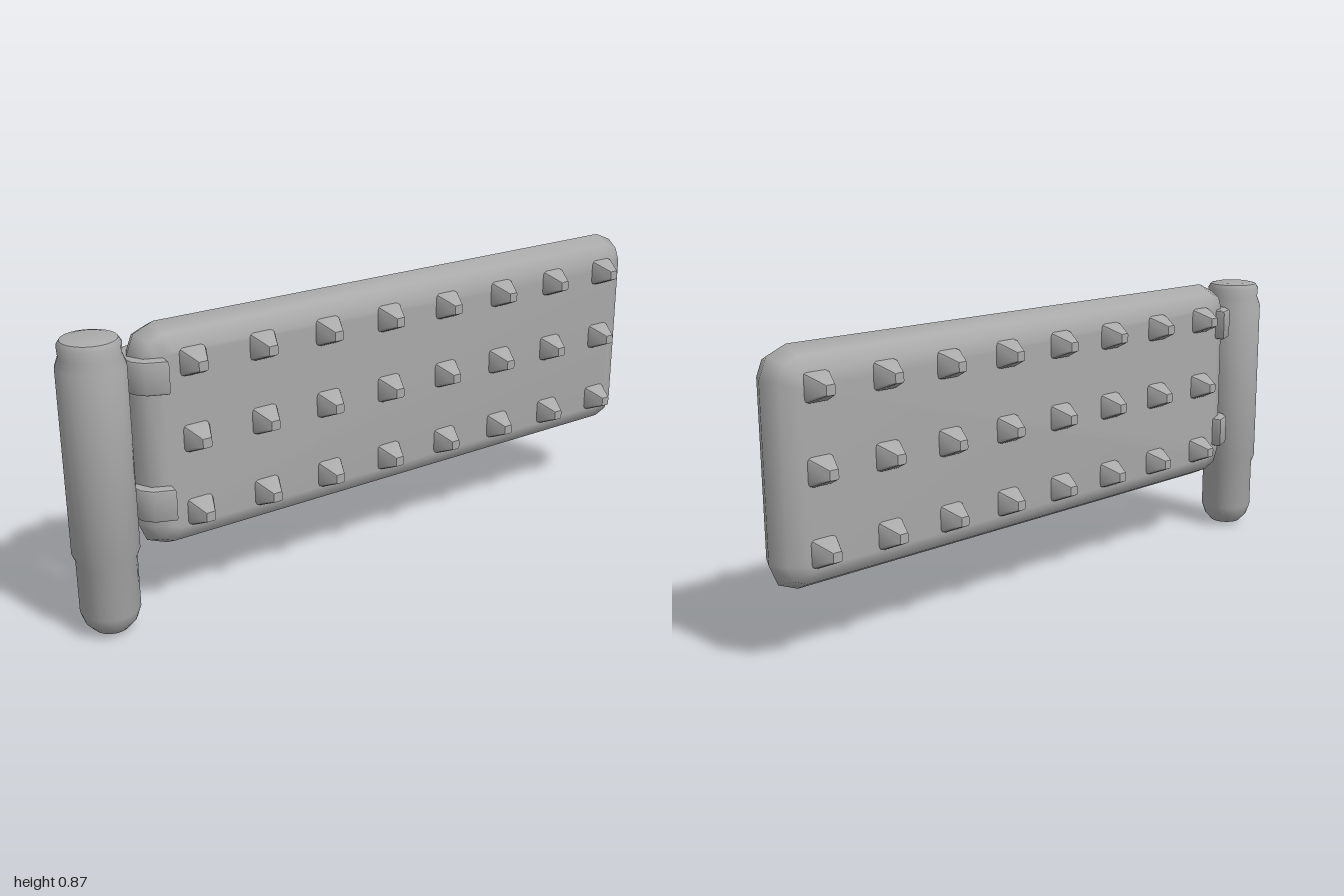
import * as THREE from 'three';
import { toCreasedNormals } from 'three/addons/utils/BufferGeometryUtils.js';

// Solid lofted along z from rounded rectangles: sections are [z, halfWidth, halfHeight, cornerRadius]
function loft(sections, steps) {
  const pos = [], index = [], n = 4 * (steps + 1);
  for (const [z, w, h, r] of sections) {
    for (let c = 0; c < 4; c++) {
      const sx = c === 0 || c === 3 ? 1 : -1, sy = c < 2 ? 1 : -1;
      for (let i = 0; i <= steps; i++) {
        const a = (c + i / steps) * Math.PI / 2;
        pos.push(sx * (w - r) + r * Math.cos(a), sy * (h - r) + r * Math.sin(a), z);
      }
    }
  }
  const last = (sections.length - 1) * n;
  for (let s = 0; s < last; s += n) {
    for (let i = 0; i < n; i++) {
      const j = (i + 1) % n;
      index.push(s + i, s + j, s + n + j, s + i, s + n + j, s + n + i);
    }
  }
  for (let i = 1; i < n - 1; i++) {
    index.push(0, i + 1, i, last, last + i, last + i + 1);
  }
  const g = new THREE.BufferGeometry();
  g.setAttribute('position', new THREE.Float32BufferAttribute(pos, 3));
  g.setIndex(index);
  g.computeVertexNormals();
  return g;
}

export function createModel() {
  const model = new THREE.Group();
  const grey = new THREE.MeshStandardMaterial({ color: 0xaaaaaa });
  grey.name = 'grey';
  const add = (geometry, name, x, y, z = 0) => {
    const mesh = new THREE.Mesh(geometry, grey);
    mesh.name = name;
    mesh.position.set(x, y, z);
    model.add(mesh);
    return mesh;
  };

  // Upright post with a narrower foot and a necked cap
  const profile = [[0, 0], [0.05, 0.01], [0.073, 0.035], [0.085, 0.07], [0.085, 0.228],
    [0.094, 0.25], [0.094, 0.785], [0.083, 0.815], [0.085, 0.845], [0.076, 0.859], [0.055, 0.864], [0, 0.864]]
    .map(([r, y]) => new THREE.Vector2(r, y));
  add(toCreasedNormals(new THREE.LatheGeometry(profile, 24), 0.7), 'post', -0.906, 0);

  // Slab with tapering edges and clipped corners
  const W = 0.903, H = 0.328;
  add(loft([
    [-0.07, W - 0.07, H - 0.07, 0.035],
    [-0.05, W - 0.025, H - 0.025, 0.06],
    [0, W, H, 0.085],
    [0.05, W - 0.025, H - 0.025, 0.06],
    [0.07, W - 0.07, H - 0.07, 0.035],
  ], 2), 'slab', 0.097, 0.543);

  // Blunt studs on both faces
  const stud = toCreasedNormals(loft([
    [-0.01, 0.041, 0.041, 0.012],
    [0.008, 0.038, 0.038, 0.012],
    [0.061, 0.014, 0.014, 0.004],
  ], 2), 0.5);
  for (let col = 0; col < 8; col++) {
    for (let row = 0; row < 3; row++) {
      const x = -0.645 + col * 0.2171, y = 0.325 + row * 0.22;
      add(stud, 'frontStud', x, y, 0.07);
      add(stud, 'backStud', x, y, -0.07).rotation.y = Math.PI;
    }
  }

  // Hinge straps: angled arms gripping the slab from both sides
  const bevel = 0.008;
  const arm = side => {
    const pts = [[-0.815, 0], [-0.765, 0], [-0.765, 0.045], [-0.734, 0.066],
      [-0.737, 0.092], [-0.785, 0.072], [-0.807, 0.045]];
    const shape = new THREE.Shape(pts.map(([x, z]) => new THREE.Vector2(x, -z * side)));
    const g = new THREE.ExtrudeGeometry(shape, {
      depth: 0.08, bevelEnabled: true, bevelSize: bevel, bevelThickness: bevel, bevelSegments: 2,
    });
    g.rotateX(-Math.PI / 2);
    g.translate(0, -0.04, 0);
    return toCreasedNormals(g, 0.7);
  };
  const arms = [arm(1), arm(-1)];
  for (const y of [0.372, 0.741]) {
    add(arms[0], 'frontHingeArm', 0, y);
    add(arms[1], 'backHingeArm', 0, y);
  }
  return model;
}
